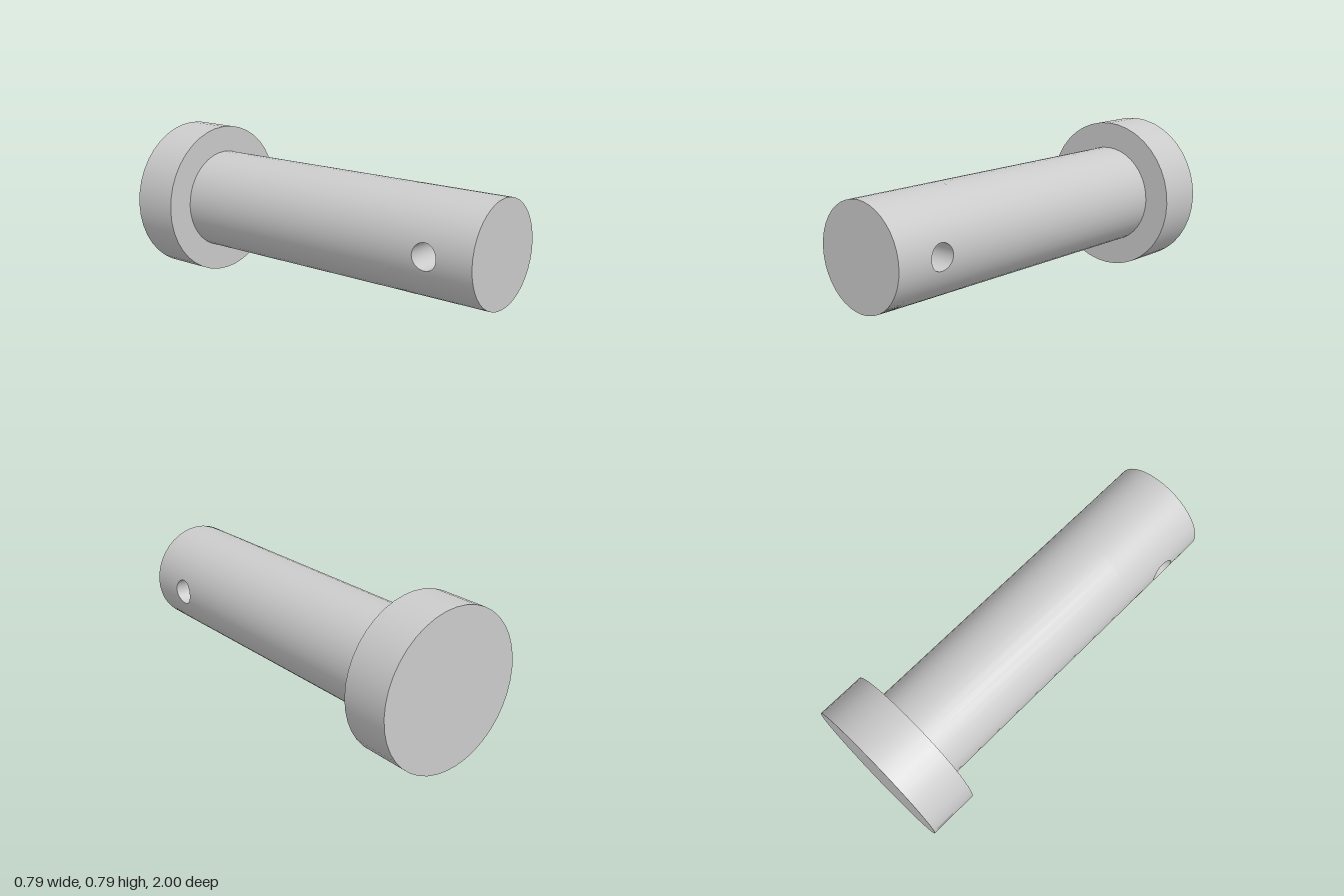
import * as THREE from 'three';
import { ParametricGeometry } from 'three/addons/geometries/ParametricGeometry.js';

const HEAD_R = 0.396, SHAFT_R = 0.26, HOLE_R = 0.065;
const HEAD_Z = -0.75;            // where the head meets the shaft
const HOLE_Z = 0.75, BAND = 0.25; // hole centre and half length of the drilled band
const SEG = 40;                  // sides of the round parts

const material = new THREE.MeshStandardMaterial({ color: 0xcccccc });

function addMesh(parent, name, geometry) {
  const mesh = new THREE.Mesh(geometry, material);
  mesh.name = name;
  parent.add(mesh);
  return mesh;
}

// Cylinder lying along z between two positions
function rod(radius, z0, z1, open) {
  return new THREE.CylinderGeometry(radius, radius, z1 - z0, SEG, 1, open)
    .rotateX(Math.PI / 2)
    .translate(0, 0, (z0 + z1) / 2);
}

// Walk clockwise around a unit square, u = 0..1
const corners = [[1, 1], [1, -1], [-1, -1], [-1, 1], [1, 1]];
function square(u) {
  const i = Math.min(3, Math.floor(u * 4)), f = u * 4 - i;
  return [0, 1].map((k) => corners[i][k] * (1 - f) + corners[i + 1][k] * f);
}

// Point on the hole's circle in the direction of the square's point
function holePoint(u) {
  const [a, b] = square(u), phi = Math.atan2(b, a);
  return [HOLE_R * Math.cos(phi), HOLE_R * Math.sin(phi)];
}

// Half of the drilled band: blends from the hole's rim to the edges of the half shell
function drilledHalf(u, v, target) {
  const [sa, sz] = square(u), [hy, hz] = holePoint(u);
  const angle = THREE.MathUtils.lerp(Math.asin(hy / SHAFT_R), sa * Math.PI / 2, v);
  const z = HOLE_Z + THREE.MathUtils.lerp(hz, sz * BAND, v);
  target.set(SHAFT_R * Math.cos(angle), SHAFT_R * Math.sin(angle), z);
}

// Wall of the cross hole, running from side to side
function holeWall(u, v, target) {
  const [hy, hz] = holePoint(u);
  const x = Math.sqrt(SHAFT_R ** 2 - hy ** 2);
  target.set((2 * v - 1) * x, hy, HOLE_Z + hz);
}

export function createModel() {
  const pin = new THREE.Group();
  pin.name = 'clevisPin';
  pin.position.y = HEAD_R;

  addMesh(pin, 'head', rod(HEAD_R, -1, HEAD_Z, false));

  const shaft = new THREE.Group();
  shaft.name = 'shaft';
  pin.add(shaft);
  addMesh(shaft, 'shaftBody', rod(SHAFT_R, HEAD_Z, HOLE_Z - BAND, true));
  addMesh(shaft, 'shaftEnd', new THREE.CircleGeometry(SHAFT_R, SEG).translate(0, 0, 1));

  // Two drilled halves, the second turned about the shaft's axis
  ['leftDrilledHalf', 'rightDrilledHalf'].forEach((name, i) => {
    addMesh(shaft, name, new ParametricGeometry(drilledHalf, SEG * 2, 12)).rotation.z = i * Math.PI;
  });
  addMesh(shaft, 'crossHole', new ParametricGeometry(holeWall, SEG * 2, 1));

  const model = new THREE.Group();
  model.name = 'model';
  model.add(pin);
  return model;
}
